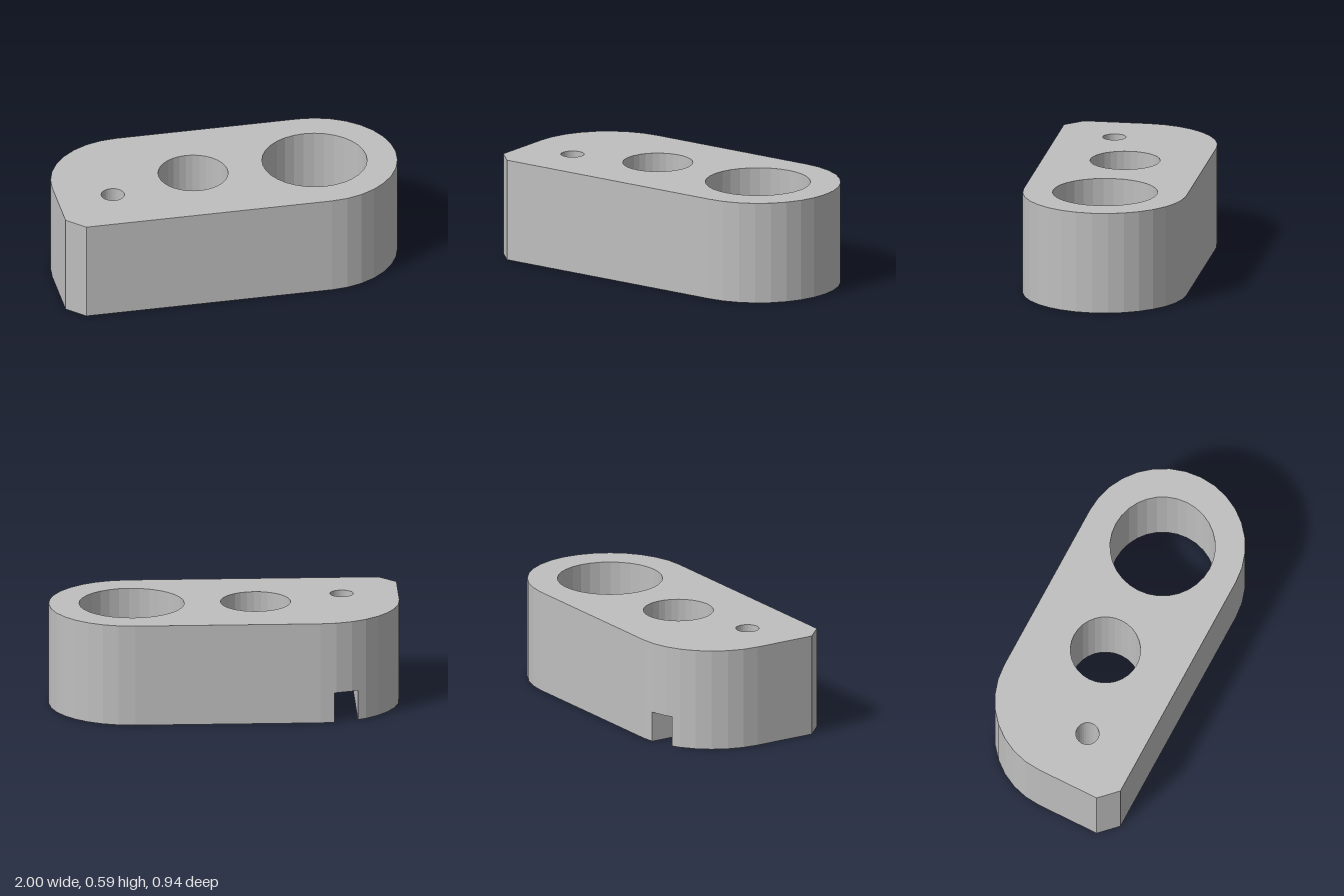
import * as THREE from 'three';

const HEIGHT = 0.588, SLOT_TOP = 0.175;
const SLOT_RIGHT = -0.745, SLOT_LEFT = -0.61, SLOT_END = -0.212;
const R = 0.47, END_X = 0.53;

// Plan points are (x, -z), so counter-clockwise seen from above.
function arc(cx, cy, r, from, to, steps) {
  return Array.from({ length: steps + 1 }, (_, i) => {
    const a = THREE.MathUtils.degToRad(from + (to - from) * i / steps);
    return new THREE.Vector2(cx + r * Math.cos(a), cy + r * Math.sin(a));
  });
}
const circle = (x, y, r) => arc(x, y, r, 0, 360, 32).slice(0, -1);

// Adds a point to the back edge where it crosses the given x.
function splitBackEdge(points, x) {
  return points.flatMap((p, i) => {
    const q = points[(i + 1) % points.length];
    const crosses = p.y > 0.2 && q.y > 0.2 && p.x > x && q.x < x;
    return crosses ? [p, p.clone().lerp(q, (x - p.x) / (q.x - p.x))] : [p];
  });
}

// Upright faceted wall; a reversed loop faces inward.
function wall(loop, y0, y1) {
  const v = [];
  loop.forEach((p, i) => {
    const q = loop[(i + 1) % loop.length];
    v.push(p.x, y0, -p.y, q.x, y0, -q.y, q.x, y1, -q.y);
    v.push(p.x, y0, -p.y, q.x, y1, -q.y, p.x, y1, -p.y);
  });
  const g = new THREE.BufferGeometry();
  g.setAttribute('position', new THREE.Float32BufferAttribute(v, 3));
  g.computeVertexNormals();
  return g;
}

// Level face with holes, facing up or down.
function cap(loop, holes, y, down) {
  const shape = new THREE.Shape(loop);
  shape.holes = holes.map(h => new THREE.Path(h));
  const g = new THREE.ShapeGeometry(shape).rotateX(-Math.PI / 2).translate(0, y, 0);
  if (down) {
    g.index.array.reverse();
    g.computeVertexNormals();
  }
  return g;
}

export function createModel() {
  const model = new THREE.Group();
  model.name = 'slottedBlock';
  const grey = new THREE.MeshStandardMaterial({ color: 0xbfbfbf, flatShading: true });
  grey.name = 'grey';
  const add = (name, geometry) => {
    const mesh = new THREE.Mesh(geometry, grey);
    mesh.name = name;
    model.add(mesh);
  };

  // Outline: chamfered front corner, round end, rounded back corner
  let outline = [
    new THREE.Vector2(-1, -0.37), new THREE.Vector2(-0.9, -R),
    ...arc(END_X, 0, R, -90, 90, 16),
    ...arc(-END_X, 0, R, 90, 180, 8),
  ];
  outline = splitBackEdge(splitBackEdge(outline, SLOT_LEFT), SLOT_RIGHT);

  // Slot cut in from the back edge
  const e = 1e-6;
  const inSlot = (p, m) => p.y > 0.2 && p.x < SLOT_LEFT + m && p.x > SLOT_RIGHT - m;
  const slotEnd = [new THREE.Vector2(SLOT_LEFT, SLOT_END), new THREE.Vector2(SLOT_RIGHT, SLOT_END)];
  const mouth = outline.filter(p => inSlot(p, e));
  const footprint = outline.filter(p => !inSlot(p, -e));
  const at = footprint.findIndex(p => inSlot(p, e)) + 1;
  footprint.splice(at, 0, ...slotEnd);

  const largeHole = circle(0.527, 0, 0.3);
  const middleHole = circle(-0.18, 0, 0.2);
  const smallHole = circle(-0.6775, -0.143, 0.0665);

  add('topFace', cap(outline, [largeHole, middleHole, smallHole], HEIGHT, false));
  add('bottomFace', cap(footprint, [largeHole, middleHole], 0, true));
  add('upperSides', wall(outline, SLOT_TOP, HEIGHT));
  add('lowerSides', wall(footprint, 0, SLOT_TOP));
  add('slotCeiling', cap([...mouth, slotEnd[1], slotEnd[0]], [smallHole], SLOT_TOP, true));
  add('largeBore', wall([...largeHole].reverse(), 0, HEIGHT));
  add('middleBore', wall([...middleHole].reverse(), 0, HEIGHT));
  add('smallBore', wall([...smallHole].reverse(), SLOT_TOP, HEIGHT));
  return model;
}
